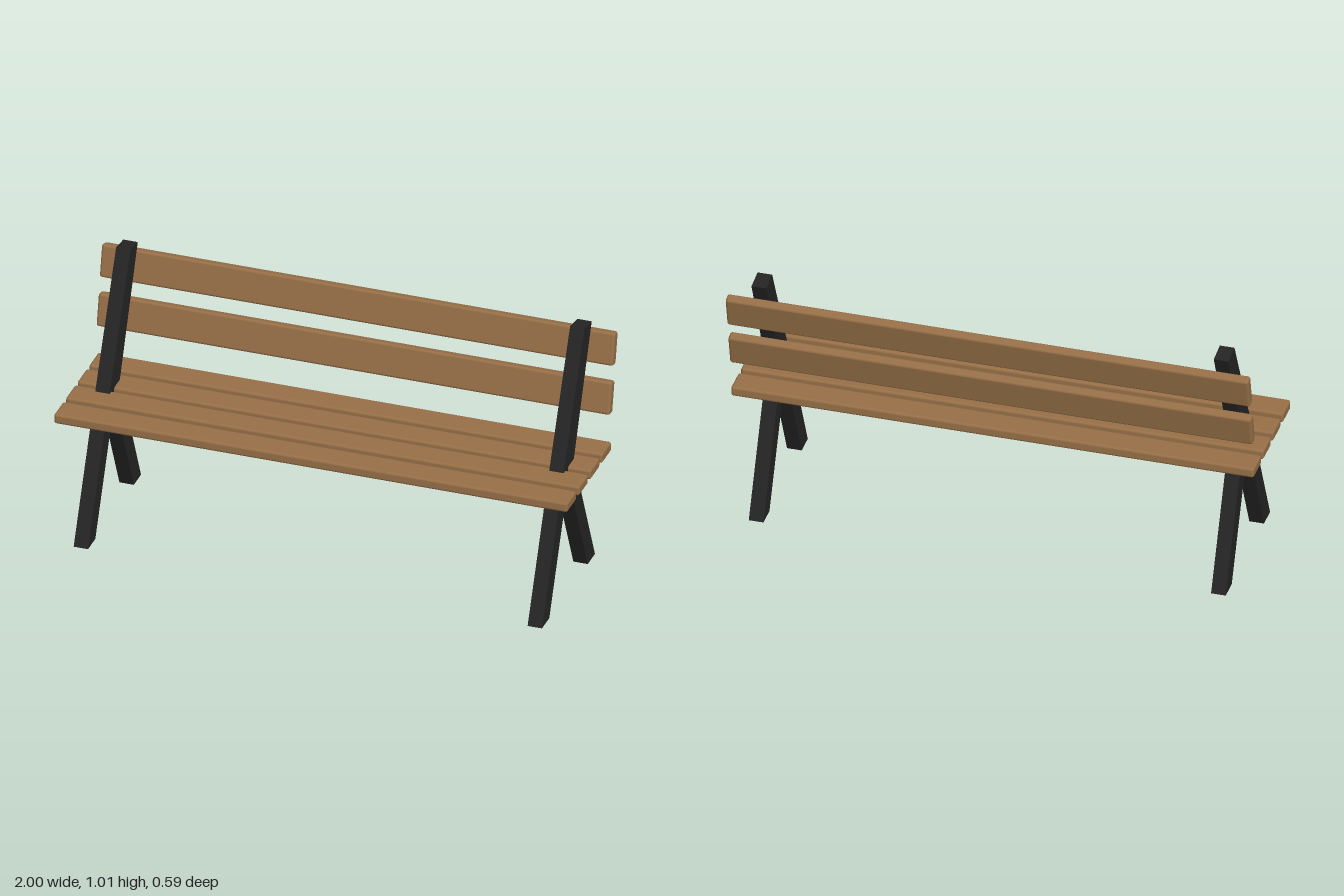
import * as THREE from 'three';
import { RoundedBoxGeometry } from 'three/addons/geometries/RoundedBoxGeometry.js';

export function createModel() {
  const bench = new THREE.Group();
  bench.name = 'bench';

  const wood = new THREE.MeshStandardMaterial({ color: 0x966f47 });
  wood.name = 'wood';
  const iron = new THREE.MeshStandardMaterial({ color: 0x242424 });
  iron.name = 'darkIron';

  // Side frame outline as [z, y]: front leg, back leg and leaning backrest post
  const outline = [
    [0.298, 0], [0.217, 0], [0.004, 0.474], [-0.208, 0], [-0.288, 0],
    [-0.072, 0.488], [-0.05, 0.518], [-0.252, 1.003], [-0.172, 1.014], [0.064, 0.518],
  ];
  const thickness = 0.056;
  const frameGeometry = new THREE.ExtrudeGeometry(
    new THREE.Shape(outline.map(([z, y]) => new THREE.Vector2(z, y))),
    { depth: thickness, bevelEnabled: false },
  );
  frameGeometry.translate(0, 0, -thickness / 2);
  frameGeometry.rotateY(-Math.PI / 2);

  for (const side of [1, -1]) {
    const frame = new THREE.Mesh(frameGeometry, iron);
    frame.name = side > 0 ? 'leftFrame' : 'rightFrame';
    frame.position.x = side * 0.884;
    bench.add(frame);
  }

  function addSlat(name, geometry, y, z, tilt = 0) {
    const slat = new THREE.Mesh(geometry, wood);
    slat.name = name;
    slat.position.set(0, y, z);
    slat.rotation.x = tilt;
    bench.add(slat);
  }

  // Seat slats
  const seatGeometry = new RoundedBoxGeometry(2, 0.04, 0.105, 2, 0.01);
  [0.217, 0.086, -0.042, -0.171].forEach((z, i) =>
    addSlat(`seatSlat${i + 1}`, seatGeometry, 0.508, z));

  // Backrest slats, leaning back
  const backGeometry = new RoundedBoxGeometry(2, 0.128, 0.04, 2, 0.01);
  const lean = -THREE.MathUtils.degToRad(12);
  addSlat('lowerBackSlat', backGeometry, 0.708, -0.23, lean);
  addSlat('upperBackSlat', backGeometry, 0.896, -0.266, lean);

  return bench;
}
